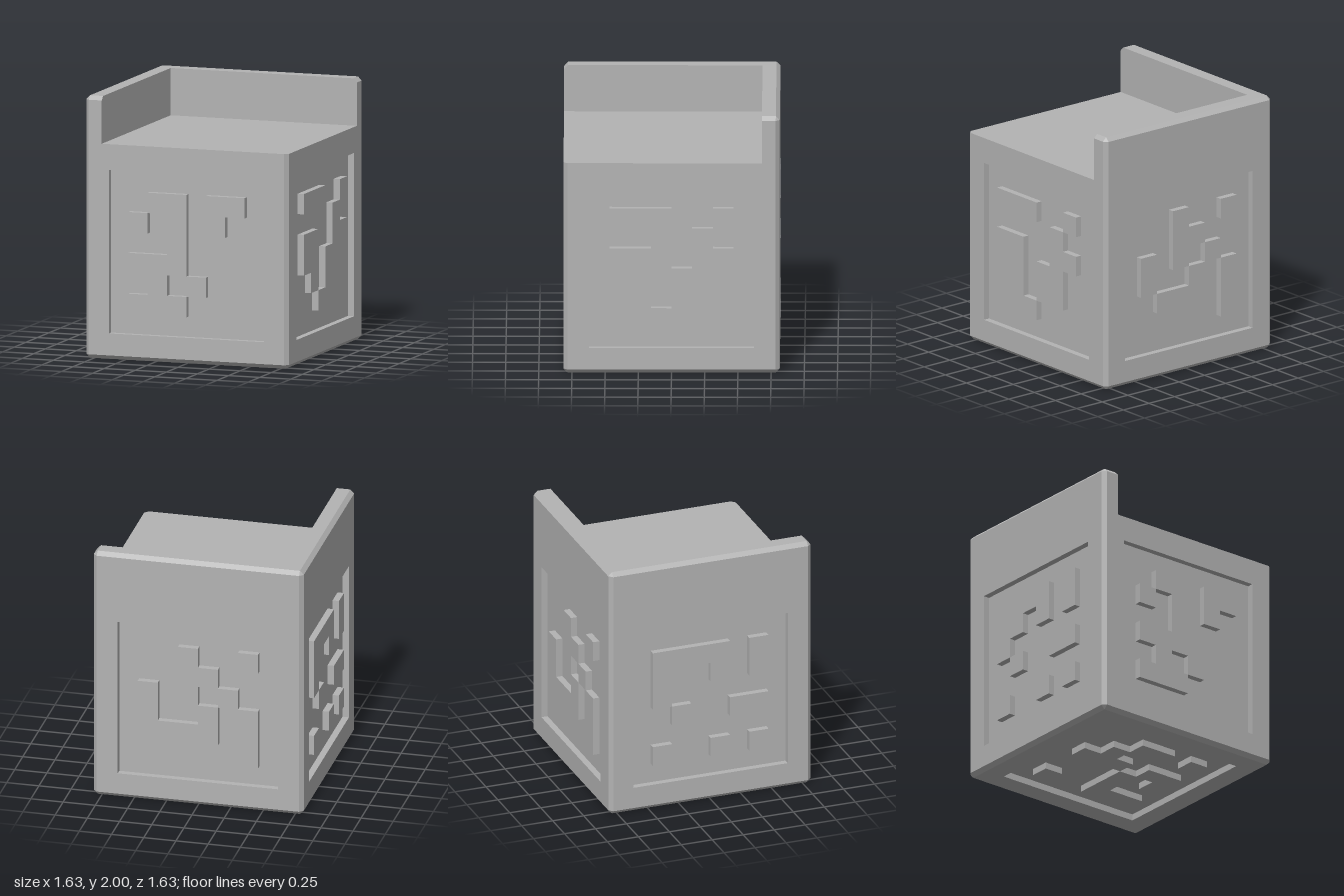
import * as THREE from 'three';
import { ConvexGeometry } from 'three/addons/geometries/ConvexGeometry.js';

const R = 0.815;        // half width of the block
const C = 0.03;         // chamfer
const E = R - C;        // where flat faces end
const D = 0.05;         // depth of the sunken panels
const SEAT = 1.64;      // height of the flat shelf
const WALL = 0.68;      // inner face of the two upper walls
const CELL = 0.1556;    // relief grid step
const PANEL_Y = 0.82;   // centre height of the side panels

// Relief patterns, X = raised block, read from outside each face
const RELIEF = {
  front: ['.XX.XX', 'X.X.X.', '..X...', 'XXX...', '.X.X..', 'XXX...'],
  right: ['XXX..X', '....X.', 'XX..XX', 'XX.XX.', '.X.XX.', '..X...'],
  back: ['..X..X', '..XX..', 'X.X.X.', 'X..X.X', '.XXX.X', '.....X'],
  left: ['XXXX.X', 'XX.X.X', 'X.....', '.X..XX', '......', 'X..X.X'],
  bottom: ['XXX..X', '..X...', 'X.X...', 'XX.XXX', '....X.', 'X.XX..'],
};

export function createModel() {
  const model = new THREE.Group();
  model.name = 'carvedBlock';
  const stone = new THREE.MeshStandardMaterial({ color: 0xb3b3b3 });
  stone.name = 'grey stone';

  const add = (parent, name, geometry) => {
    const mesh = new THREE.Mesh(geometry, stone);
    mesh.name = name;
    parent.add(mesh);
    return mesh;
  };
  const box = (parent, name, x0, x1, y0, y1, z0, z1) =>
    add(parent, name, new THREE.BoxGeometry(x1 - x0, y1 - y0, z1 - z0))
      .position.set((x0 + x1) / 2, (y0 + y1) / 2, (z0 + z1) / 2);

  // Core (its sides are the panel floors) and the two raised walls
  box(model, 'core', -R + D, R - D, D, SEAT, -R + D, R - D);
  box(model, 'leftWall', -E, -WALL, SEAT - 0.04, 2, -E, E);
  box(model, 'backWall', -WALL, E, SEAT - 0.04, 2, -E, -WALL);

  // One face: a frame around a square hole, with raised blocks inside.
  // Local origin is the panel centre on the outer surface, z points outward.
  function carvedFace(name, outline) {
    const face = new THREE.Group();
    face.name = name + 'Face';
    const shape = new THREE.Shape(outline.map(([x, y]) => new THREE.Vector2(x, y)));
    const h = 4 * CELL;
    shape.holes.push(new THREE.Path(
      [[-h, -h], [-h, h], [h, h], [h, -h]].map(([x, y]) => new THREE.Vector2(x, y))));
    const frame = new THREE.ExtrudeGeometry(shape, { depth: D, bevelEnabled: false });
    add(face, name + 'Frame', frame.translate(0, 0, -D));
    RELIEF[name].forEach((row, r) => {
      // each horizontal run of cells is one block
      for (const run of row.matchAll(/X+/g)) {
        const x = (run.index - 3) * CELL, y = (3 - r) * CELL;
        box(face, name + 'Relief', x, x + run[0].length * CELL, y - CELL, y, -D, 0);
      }
    });
    model.add(face);
    return face;
  }

  // Side faces; front and right step up to the end of a wall
  const low = C - PANEL_Y, mid = SEAT - PANEL_Y, high = 2 - C - PANEL_Y;
  const tall = [[-E, low], [E, low], [E, high], [-E, high]];
  const stepLeft = [[-E, low], [E, low], [E, mid], [-WALL, mid], [-WALL, high], [-E, high]];
  const stepRight = [[-E, low], [E, low], [E, high], [WALL, high], [WALL, mid], [-E, mid]];
  const sides = [['front', stepLeft], ['right', stepRight], ['back', tall], ['left', tall]];
  sides.forEach(([name, outline], i) => {
    const face = carvedFace(name, outline);
    const a = i * Math.PI / 2;
    face.rotation.y = a;
    face.position.set(R * Math.sin(a), PANEL_Y, R * Math.cos(a));
  });

  // Underside
  const under = carvedFace('bottom', [[-E, -E], [E, -E], [E, E], [-E, E]]);
  under.quaternion.setFromRotationMatrix(new THREE.Matrix4().makeBasis(
    new THREE.Vector3(-1, 0, 0), new THREE.Vector3(0, 0, -1), new THREE.Vector3(0, -1, 0)));

  // Chamfered edges: triangular rails along one axis (0 x, 1 y, 2 z)
  const H = [R, 1, R];
  const point = (axis, t, b, c) => {
    const v = [0, 0, 0];
    v[axis] = t;
    v[(axis + 1) % 3] = b;
    v[(axis + 2) % 3] = c;
    return new THREE.Vector3(v[0], v[1] + 1, v[2]);
  };
  function rail(axis, sb, sc, from, to) {
    const hb = H[(axis + 1) % 3], hc = H[(axis + 2) % 3];
    const pts = [];
    for (const t of [from, to]) {
      pts.push(point(axis, t, sb * hb, sc * (hc - C)),
        point(axis, t, sb * (hb - C), sc * hc),
        point(axis, t, sb * (hb - C), sc * (hc - C)));
    }
    add(model, 'chamferedEdge', new ConvexGeometry(pts));
  }
  for (const s of [-1, 1]) {
    rail(0, -1, s, -E, E);                                   // bottom, along x
    rail(2, s, -1, -E, E);                                   // bottom, along z
    rail(0, 1, s, -E, s > 0 ? -WALL : E);                    // top, along x
    rail(2, s, 1, -E, s > 0 ? -WALL : E);                    // top, along z
    for (const q of [-1, 1]) {
      rail(1, s, q, -1 + C, s + q === 2 ? SEAT - 1 : 1 - C); // upright, b is z, c is x
    }
  }

  // Corner tips, all but the cut-away one
  for (const x of [-1, 1]) for (const y of [-1, 1]) for (const z of [-1, 1]) {
    if (x + y + z === 3) continue;
    const tip = [[R, 1 - C, E], [E, 1, E], [E, 1 - C, R], [E, 1 - C, E]];
    add(model, 'cornerTip', new ConvexGeometry(
      tip.map(([a, b, c]) => new THREE.Vector3(a * x, 1 + b * y, c * z))));
  }
  return model;
}
